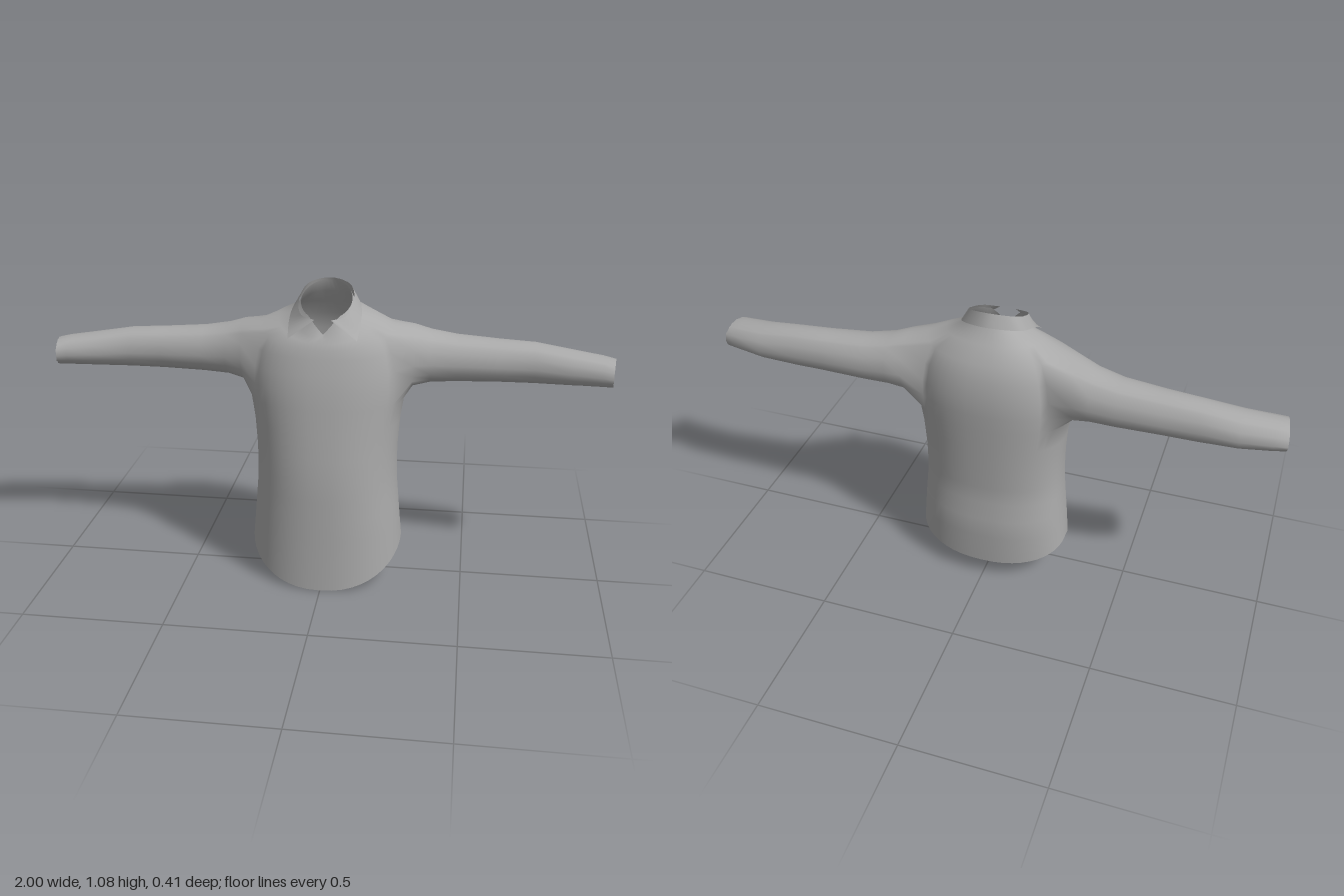
import * as THREE from 'three';

const N = 48; // segments around the body

// Body rows from hem to neck: y at front, side, back, half width, front z, back z, centre z
const ROWS = [
  [0.0, 0.135, 0.075, 0.275, 0.205, -0.185, -0.02],
  [0.2, 0.2, 0.2, 0.268, 0.204, -0.192, -0.02],
  [0.28, 0.28, 0.28, 0.261, 0.203, -0.192, -0.02],
  [0.35, 0.35, 0.35, 0.255, 0.203, -0.18, -0.02],
  [0.42, 0.42, 0.42, 0.252, 0.202, -0.183, -0.02],
  [0.5, 0.5, 0.5, 0.253, 0.197, -0.187, -0.02],
  [0.6, 0.6, 0.6, 0.26, 0.188, -0.193, -0.02],
  [0.68, 0.68, 0.68, 0.272, 0.18, -0.198, -0.02],
  [0.74, 0.74, 0.74, 0.277, 0.174, -0.201, -0.02],
  [0.8, 0.8, 0.8, 0.275, 0.163, -0.202, -0.02],
  [0.855, 0.87, 0.87, 0.262, 0.15, -0.193, -0.02],
  [0.885, 0.945, 0.93, 0.235, 0.141, -0.174, -0.02],
  [0.905, 0.972, 0.985, 0.17, 0.132, -0.138, -0.01],
  [0.92, 0.99, 1.03, 0.11, 0.122, -0.105, 0.01],
];
// Armhole block: body rows and columns left open
const HOLE = { j0: 7, j1: 11, i0: 8, i1: 17 };

// Sleeve rings: x, top y, bottom y, front z, back z
const SLEEVE = [
  [0.3, 0.934, 0.716, 0.057, -0.158],
  [0.36, 0.914, 0.729, 0.036, -0.157],
  [0.45, 0.897, 0.732, 0.018, -0.156],
  [0.6, 0.885, 0.735, 0.006, -0.15],
  [0.72, 0.878, 0.735, 0.0, -0.146],
  [0.85, 0.858, 0.737, 0.012, -0.14],
  [0.95, 0.846, 0.741, 0.023, -0.12],
  [0.99, 0.838, 0.744, 0.032, -0.11],
];

function makeGeometry(points, index) {
  const g = new THREE.BufferGeometry();
  g.setAttribute('position', new THREE.Float32BufferAttribute(points.flat(), 3));
  g.setIndex(index);
  g.computeVertexNormals();
  return g;
}

const soften = (v) => Math.sign(v) * Math.abs(v) ** 0.9;

function bodyPoint([yf, ys, yb, w, zf, zb, zc], i) {
  const t = (i / N) * Math.PI * 2;
  const s = Math.sin(t), c = Math.cos(t);
  const y = ys + ((c > 0 ? yf : yb) - ys) * Math.abs(c) ** 1.2;
  return [w * soften(s), y, zc + Math.abs((c > 0 ? zf : zb) - zc) * soften(c)];
}

// Inner collar stand, dipping to a small notch at the front
function standPoint(i) {
  const t = (i / N) * Math.PI * 2;
  const x = 0.088 * Math.sin(t), z = 0.008 + 0.1 * Math.cos(t);
  const notch = z > 0 ? 0.05 * Math.max(0, 1 - Math.abs(x) / 0.05) : 0;
  return [x, 1.072 - (z + 0.09) * 0.45 - notch, z];
}

function buildShirt() {
  const pts = [], idx = [], cuffs = [];
  const quad = (a, b, c, d) => idx.push(a, b, c, a, c, d);
  const id = (i, j) => j * N + (i % N);
  for (const row of ROWS) for (let i = 0; i < N; i++) pts.push(bodyPoint(row, i));
  for (let i = 0; i < N; i++) pts.push(standPoint(i));

  // Body skin around the two armholes
  const { j0, j1, i0, i1 } = HOLE;
  for (let j = 0; j < ROWS.length; j++) {
    for (let i = 0; i < N; i++) {
      const k = Math.min(i, N - 1 - i);
      if (j >= j0 && j < j1 && k >= i0 && k < i1) continue;
      quad(id(i, j), id(i + 1, j), id(i + 1, j + 1), id(i, j + 1));
    }
  }

  // Sleeves grow from the armhole edges
  for (const side of [1, -1]) {
    const a = side > 0 ? i0 : N - i1, b = side > 0 ? i1 : N - i0;
    let loop = [];
    for (let i = a; i < b; i++) loop.push(id(i, j0));
    for (let j = j0; j < j1; j++) loop.push(id(b, j));
    for (let i = b; i > a; i--) loop.push(id(i, j1));
    for (let j = j1; j > j0; j--) loop.push(id(a, j));
    const angles = loop.map((p) => Math.atan2((pts[p][1] - 0.81) / 0.13, (pts[p][2] + 0.03) / 0.11));

    SLEEVE.forEach(([x, top, bottom, front, back], r) => {
      const end = Math.max(0, r - 5) / 2;
      const ring = angles.map((t, m) => {
        const pleat = 1 - (m % 2) * 0.05 * end;
        pts.push([
          side * (x - 0.01 * end * Math.cos(t)),
          (top + bottom) / 2 + ((top - bottom) / 2) * Math.sin(t) * pleat,
          (front + back) / 2 + ((front - back) / 2) * Math.cos(t) * pleat,
        ]);
        return pts.length - 1;
      });
      ring.forEach((p, m) => {
        const n = (m + 1) % ring.length;
        quad(loop[m], loop[n], ring[n], p);
      });
      loop = ring;
    });
    cuffs.push({ side, edge: loop.map((p) => pts[p]) });
  }
  return { geometry: makeGeometry(pts, idx), cuffs };
}

// Shallow fan closing the sleeve end
function cuffEnd({ side, edge }) {
  const idx = edge.flatMap((_, m) => [m, (m + 1) % edge.length, edge.length]);
  return makeGeometry([...edge, [side * 0.972, 0.791, -0.039]], idx).toNonIndexed();
}

function mirroredCurve(half) {
  const other = half.slice(0, -1).reverse().map(([x, y, z]) => [-x, y, z]);
  return new THREE.CatmullRomCurve3([...half, ...other].map((p) => new THREE.Vector3(...p)));
}

// Folded collar leaf, ruled between its fold and its outer edge
function buildCollar() {
  const fold = mirroredCurve([
    [0.028, 0.985, 0.116], [0.075, 0.995, 0.095], [0.094, 1.03, 0.01],
    [0.072, 1.066, -0.066], [0, 1.08, -0.094],
  ]);
  const edge = mirroredCurve([
    [0.118, 0.92, 0.129], [0.123, 0.965, 0.06], [0.12, 0.992, 0],
    [0.1, 1.015, -0.064], [0, 1.034, -0.11],
  ]);
  const n = 40, pts = [], idx = [];
  for (let k = 0; k <= n; k++) {
    pts.push(edge.getPoint(k / n).toArray(), fold.getPoint(k / n).toArray());
    const a = k * 2;
    if (k < n) idx.push(a, a + 2, a + 3, a, a + 3, a + 1);
  }
  return makeGeometry(pts, idx);
}

export function createModel() {
  const fabric = new THREE.MeshStandardMaterial({ color: 0xaaaaaa, side: THREE.DoubleSide });
  fabric.name = 'grey fabric';
  const group = new THREE.Group();
  group.name = 'shirt';
  const add = (name, geometry) => {
    if (!geometry.index) geometry.computeVertexNormals();
    const mesh = new THREE.Mesh(geometry, fabric);
    mesh.name = name;
    group.add(mesh);
  };
  const { geometry, cuffs } = buildShirt();
  add('bodyAndSleeves', geometry);
  for (const cuff of cuffs) add(cuff.side > 0 ? 'leftCuffEnd' : 'rightCuffEnd', cuffEnd(cuff));
  add('collar', buildCollar());
  return group;
}
